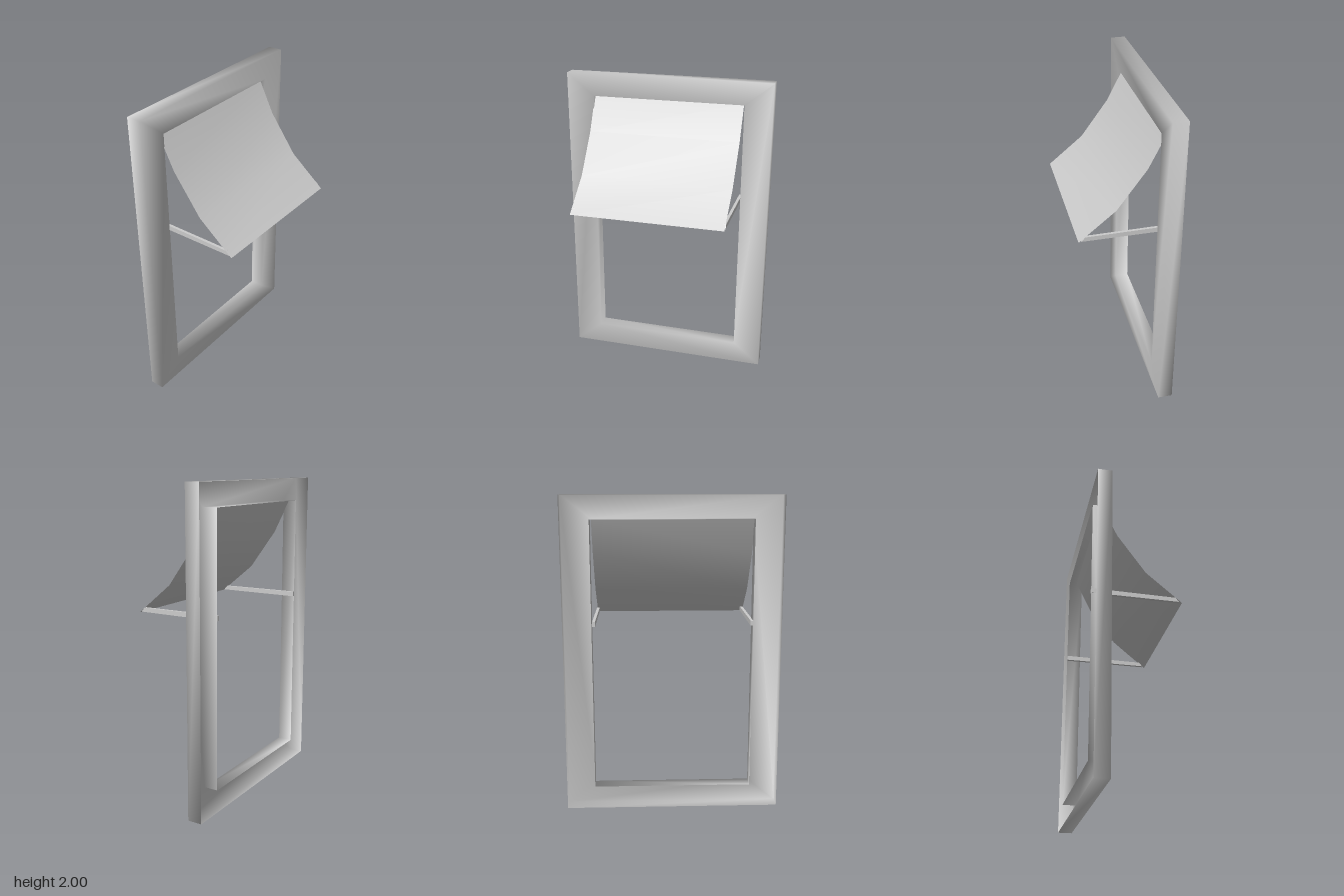
import * as THREE from 'three';

// Rows of equal length joined into a surface; vertices are shared so shading is smooth
function skin(rows, loop) {
  const n = rows[0].length, m = rows.length, index = [];
  for (let i = 0; i < (loop ? m : m - 1); i++) {
    for (let j = 0; j < n - 1; j++) {
      const a = i * n + j, c = ((i + 1) % m) * n + j;
      index.push(a, c, a + 1, a + 1, c, c + 1);
    }
  }
  const geometry = new THREE.BufferGeometry();
  geometry.setAttribute('position', new THREE.Float32BufferAttribute(rows.flat(2), 3));
  geometry.setIndex(index);
  geometry.computeVertexNormals();
  return geometry;
}

export function createModel() {
  const group = new THREE.Group();
  const grey = new THREE.MeshStandardMaterial({ color: 0xcccccc });
  const thin = new THREE.MeshStandardMaterial({ color: 0xcccccc, side: THREE.DoubleSide });
  const add = (name, geometry, material) => {
    const mesh = new THREE.Mesh(geometry, material);
    mesh.name = name;
    group.add(mesh);
  };

  const back = -0.285, front = -0.192;

  // Window frame: a channel section, open at the back, carried round the four corners
  const corners = [
    [0, 0.68, 0.147, 0.5],
    [0, -0.68, 0.147, -0.5],
    [2, -0.68, 1.855, -0.5],
    [2, 0.68, 1.855, 0.5],
  ];
  const frameRows = corners.map(([y, z, holeY, holeZ]) => [
    [back, y, z], [front, y, z], [front, holeY, holeZ], [back, holeY, holeZ],
  ]);
  add('windowFrame', skin(frameRows, true), thin);

  // Awning: thin sheet with a sagging profile, starting inside the opening
  const profile = [[-0.233, 1.855], [-0.124, 1.635], [0.057, 1.385], [0.285, 1.196]];
  const awningRows = profile.map(([x, y]) => [[x, y, 0.505], [x, y, -0.491]]);
  add('awning', skin(awningRows, false), thin);

  // Support rods, cut at a slant under the awning
  const rodShape = new THREE.Shape([
    new THREE.Vector2(back, 1.203), new THREE.Vector2(0.268, 1.203),
    new THREE.Vector2(0.245, 1.23), new THREE.Vector2(back, 1.234),
  ]);
  const rodWidth = 0.018;
  for (const [name, z] of [['leftRod', 0.502 - rodWidth], ['rightRod', -0.495]]) {
    const rod = new THREE.ExtrudeGeometry(rodShape, { depth: rodWidth, bevelEnabled: false });
    add(name, rod.translate(0, 0, z), grey);
  }

  return group;
}
